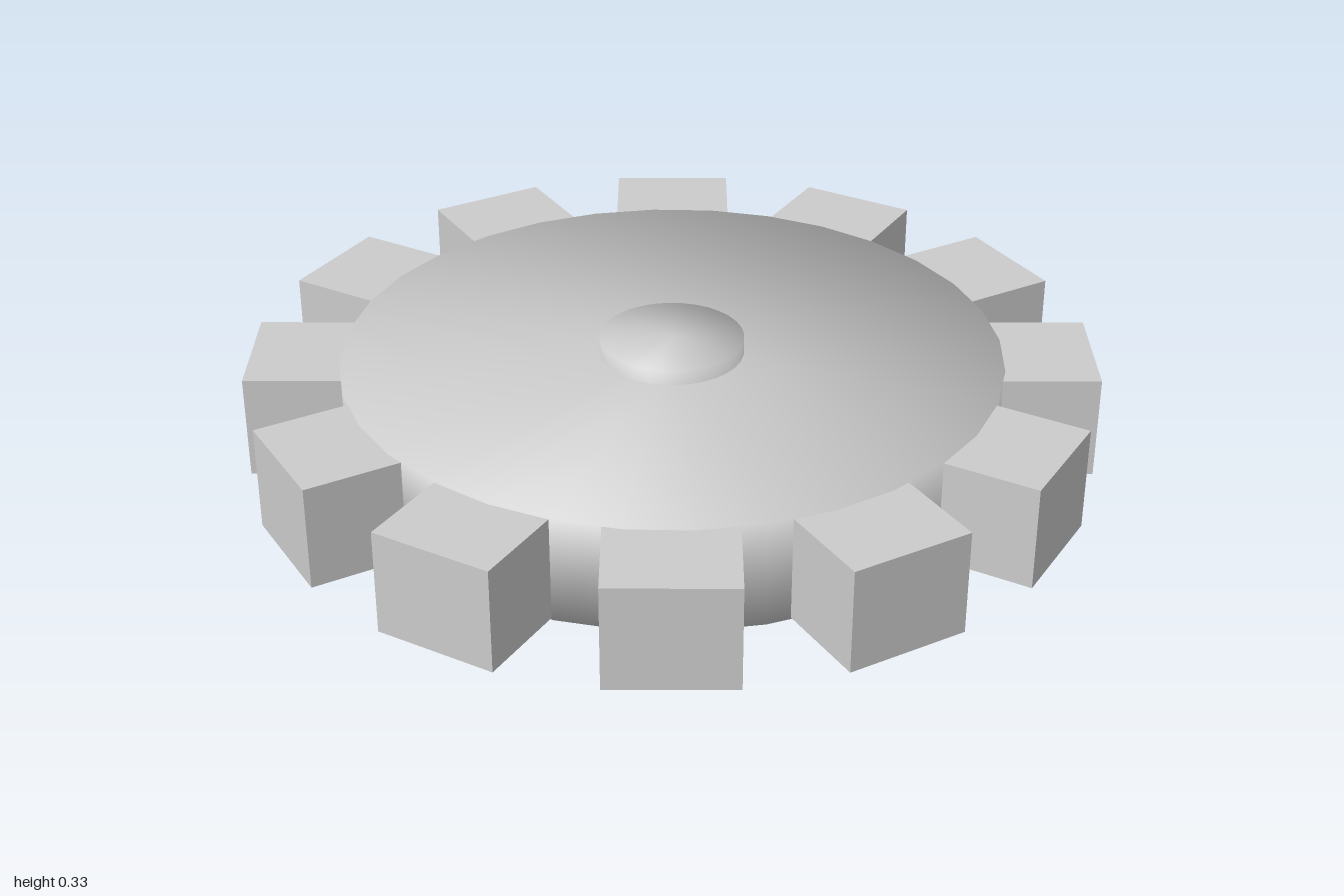
import * as THREE from 'three';

const material = new THREE.MeshStandardMaterial({ color: 0xcccccc });
const MID = 0.167; // height of the wheel's middle plane

// Closed cylinder whose caps and wall share one soft normal along each rim
function softCylinder(name, radius, height) {
  const geometry = new THREE.CylinderGeometry(radius, radius, height, 32);
  const { position, normal } = geometry.attributes;
  for (let i = 0; i < position.count; i++) {
    normal.setXYZ(
      i,
      Math.SQRT1_2 * position.getX(i) / radius,
      Math.SQRT1_2 * Math.sign(position.getY(i)),
      Math.SQRT1_2 * position.getZ(i) / radius
    );
  }
  const mesh = new THREE.Mesh(geometry, material);
  mesh.name = name;
  mesh.position.y = MID;
  return mesh;
}

export function createModel() {
  const gear = new THREE.Group();
  gear.name = 'gear';

  // Wheel body and the hub that stands slightly proud on both sides
  gear.add(softCylinder('disc', 0.787, 0.26));
  gear.add(softCylinder('hub', 0.172, 2 * MID));

  // Twelve block teeth, sunk a little into the disc
  const teeth = new THREE.Group();
  teeth.name = 'teeth';
  const inner = 0.72, outer = 1;
  const toothGeometry = new THREE.BoxGeometry(outer - inner, 0.252, 0.294);
  toothGeometry.translate((inner + outer) / 2, MID, 0);
  for (let i = 0; i < 12; i++) {
    const tooth = new THREE.Mesh(toothGeometry, material);
    tooth.name = `tooth${i + 1}`;
    tooth.rotation.y = (i * Math.PI) / 6;
    teeth.add(tooth);
  }
  gear.add(teeth);

  return gear;
}
